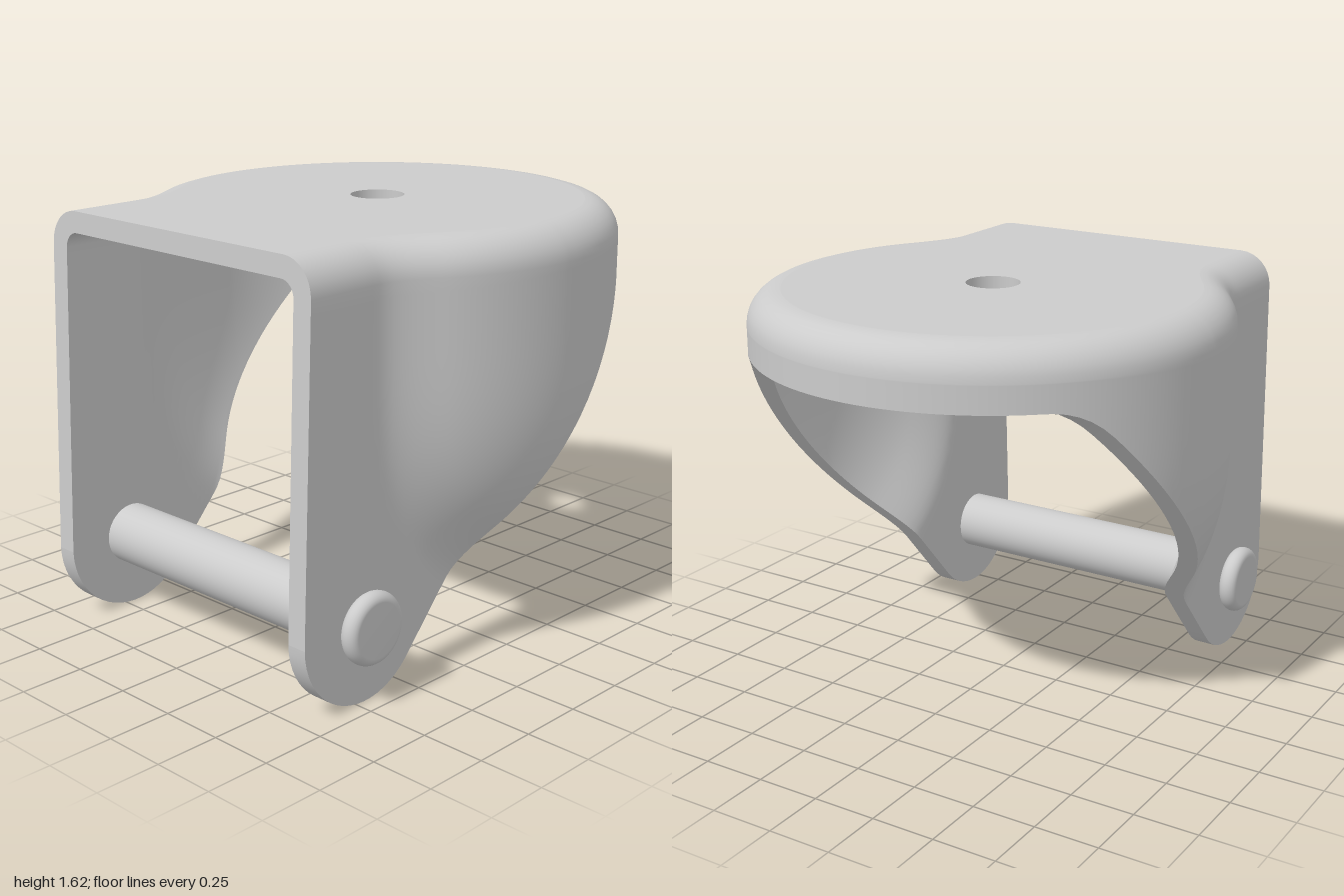
import * as THREE from 'three';

const TOP = 1.625, T = 0.08, CX = 0.08, RAD = 0.92, FLAT = 0.68;
const AX = -0.71, AY = 0.29; // axle centre
const clamp = THREE.MathUtils.clamp;
const material = new THREE.MeshStandardMaterial({ color: 0xcccccc });
const doubleSided = new THREE.MeshStandardMaterial({ color: 0xcccccc, side: THREE.DoubleSide });

// Smooth maximum with blend width k
const smax = (a, b, k) => Math.max(a, b) + (Math.max(k - Math.abs(a - b), 0) ** 2) / (4 * k);

// Radius of the bulge, closing in towards the bottom
const bulge = (y) => RAD - 0.185 * Math.max(0, (1.25 - y) / 0.84) ** 3.2;

// Half width of the fork, d = inward offset of the skin
function halfWidth(x, y, d) {
  const r = bulge(y) - d;
  const round = Math.sqrt(Math.max(0, r * r - (x - CX) ** 2));
  return x > CX ? round : smax(round, FLAT - d, 0.1);
}

// Lower edge: round axle lug, slanted cut, level rim
function lowerEdge(x) {
  if (x < -0.495) return AY - Math.sqrt(Math.max(0, AY * AY - (x - AX) ** 2));
  return -smax(-(0.655 + 1.13 * x), -1.39, 0.11);
}

// Positions along one half of the outline, from the open back to the rim
function outlineX(d) {
  const xs = [];
  for (let i = 0; i < 20; i++) xs.push(AX - AY * Math.cos((i / 20) * 0.766 * Math.PI));
  for (let i = 0; i < 24; i++) xs.push(-0.495 + (i / 24) * (CX + 0.495));
  for (let i = 0; i <= 32; i++) xs.push(CX + (RAD - d) * Math.sin((i / 32) * Math.PI / 2));
  return xs;
}

// Columns of points from the lower edge up and over the rounded shoulder
function skin(d, top, r) {
  const xs = outlineX(d), last = xs.length - 1;
  const rows = 28, arc = 8, yArc = top - r;
  const half = xs.map((c, i) => {
    const a = xs[Math.max(i - 1, 0)], b = xs[Math.min(i + 1, last)];
    const n = new THREE.Vector2(halfWidth(a, yArc, d) - halfWidth(b, yArc, d), b - a).normalize();
    if (i === last) n.set(1, 0);
    const column = [];
    const add = (y, inset, yShape) => {
      const lean = 0.05 * clamp((y - AY) / 1.33, 0, 1) * clamp((-0.6 - c) / 0.4, 0, 1);
      column.push(new THREE.Vector3(c + lean - n.x * inset, y, halfWidth(c, yShape, d) - n.y * inset));
    };
    const y0 = lowerEdge(c);
    for (let j = 0; j <= rows; j++) {
      const y = y0 + (yArc - y0) * j / rows;
      add(y, 0, y);
    }
    for (let j = 1; j <= arc; j++) {
      const p = (j / arc) * Math.PI / 2;
      add(yArc + r * Math.sin(p), r * (1 - Math.cos(p)), yArc);
    }
    return column;
  });
  const mirrored = half.slice(0, -1).reverse()
    .map((col) => col.map((p) => new THREE.Vector3(p.x, p.y, -p.z)));
  return half.concat(mirrored);
}

// Surface through columns of points
function gridGeometry(columns, flip = false) {
  const n = columns[0].length, index = [];
  for (let i = 0; i < columns.length - 1; i++) {
    for (let j = 0; j < n - 1; j++) {
      const a = i * n + j, b = a + n, c = b + 1, d = a + 1;
      if (flip) index.push(a, d, b, b, d, c);
      else index.push(a, b, d, b, c, d);
    }
  }
  const g = new THREE.BufferGeometry().setFromPoints(columns.flat());
  g.setIndex(index);
  g.computeVertexNormals();
  return g;
}

// Flat plate face with the centre hole
function plateGeometry(columns, y, up) {
  const shape = new THREE.Shape(columns.map((col) => {
    const p = col[col.length - 1];
    return new THREE.Vector2(p.x, p.z);
  }));
  shape.holes.push(new THREE.Path().absarc(CX - 0.005, 0, 0.104, 0, Math.PI * 2, true));
  const g = new THREE.ShapeGeometry(shape, 24);
  g.rotateX(up ? -Math.PI / 2 : Math.PI / 2);
  g.translate(0, y, 0);
  return g;
}

export function createModel() {
  const model = new THREE.Group();
  model.name = 'casterFork';
  const add = (parent, name, geometry, mat = material) => {
    const mesh = new THREE.Mesh(geometry, mat);
    mesh.name = name;
    parent.add(mesh);
    return mesh;
  };

  // Pressed sheet fork
  const fork = new THREE.Group();
  fork.name = 'fork';
  model.add(fork);
  const outer = skin(0, TOP, 0.13), inner = skin(T, TOP - T, 0.06);
  add(fork, 'outerWall', gridGeometry(outer));
  add(fork, 'innerWall', gridGeometry(inner, true));
  add(fork, 'topPlate', plateGeometry(outer, TOP, true));
  add(fork, 'plateUnderside', plateGeometry(inner, TOP - T, false));

  // Sheet thickness along the lower cut and round the open back
  add(fork, 'lowerEdge', gridGeometry(outer.map((col, i) => [inner[i][0], col[0]])));
  const backLoop = (cols) => [...cols[0], ...[...cols[cols.length - 1]].reverse()];
  const innerLoop = backLoop(inner);
  add(fork, 'backEdge', gridGeometry(backLoop(outer).map((p, i) => [p, innerLoop[i]])));

  // Wall of the centre hole
  const hole = new THREE.CylinderGeometry(0.104, 0.104, T, 48, 1, true);
  add(fork, 'centreHole', hole, doubleSided).position.set(CX - 0.005, TOP - T / 2, 0);

  // Axle with a rounded head at each end
  const axle = new THREE.Group();
  axle.name = 'axle';
  axle.position.set(AX, 0.293, 0);
  model.add(axle);
  add(axle, 'axlePin', new THREE.CylinderGeometry(0.118, 0.118, 1.36, 48)).rotation.x = Math.PI / 2;
  const profile = [new THREE.Vector2(0, 0)];
  for (let i = 0; i <= 12; i++) {
    const p = -Math.PI / 2 + (i / 12) * Math.PI;
    profile.push(new THREE.Vector2(0.103 + 0.033 * Math.cos(p), 0.0365 + 0.0365 * Math.sin(p)));
  }
  profile.push(new THREE.Vector2(0, 0.073));
  for (const side of [1, -1]) {
    const head = add(axle, side > 0 ? 'frontAxleHead' : 'backAxleHead', new THREE.LatheGeometry(profile, 48));
    head.rotation.x = side * Math.PI / 2;
    head.position.z = side * 0.68;
  }
  return model;
}
